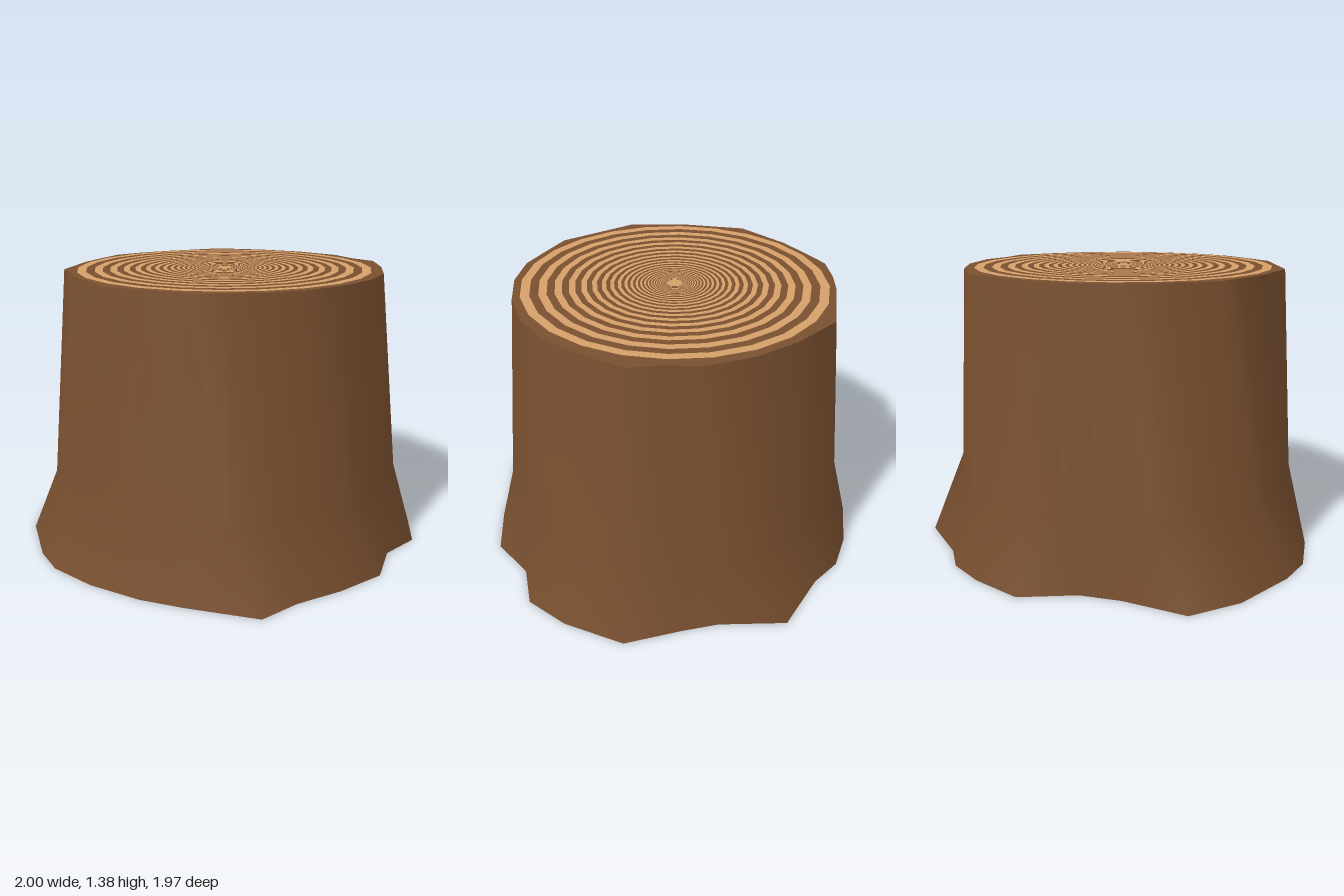
import * as THREE from 'three';

const HEIGHT = 1.38, FLARE_HEIGHT = 0.37;
const CENTRE = [0, -0.05];

// Outlines as [x, z] corners, clockwise from the back as seen from above.
const BASE = [
  [-0.04, -0.99], [0.16, -0.98], [0.32, -0.9], [0.64, -0.82], [0.75, -0.51], [0.84, -0.36],
  [1, -0.12], [0.97, 0.19], [0.89, 0.41], [0.7, 0.52], [0.57, 0.73], [0.33, 0.83],
  [0.1, 0.89], [-0.09, 0.98], [-0.4, 0.8], [-0.58, 0.68], [-0.78, 0.49], [-0.93, 0.28],
  [-0.98, 0.1], [-1, -0.24], [-0.93, -0.5], [-0.64, -0.62], [-0.47, -0.73], [-0.3, -0.95],
];
const TOP = [
  [0.16, -0.84], [0.39, -0.72], [0.57, -0.58], [0.72, -0.38], [0.75, -0.24], [0.82, -0.1],
  [0.77, 0.12], [0.69, 0.33], [0.57, 0.48], [0.39, 0.61], [0.2, 0.69], [0, 0.72],
  [-0.17, 0.69], [-0.33, 0.66], [-0.49, 0.53], [-0.65, 0.4], [-0.74, 0.13], [-0.76, -0.03],
  [-0.78, -0.19], [-0.65, -0.44], [-0.55, -0.57], [-0.45, -0.69], [-0.31, -0.75], [-0.17, -0.79],
];
// The root flare ends halfway between the two outlines.
const MIDDLE = BASE.map(([x, z], i) => [(x + TOP[i][0]) / 2, (z + TOP[i][1]) / 2]);

function buildGeometry(points, index) {
  const geometry = new THREE.BufferGeometry();
  geometry.setAttribute('position', new THREE.Float32BufferAttribute(points.flat(), 3));
  geometry.setIndex(index);
  geometry.computeVertexNormals();
  return geometry;
}

// Smooth skin through a stack of outlines.
function loft(sections) {
  const n = BASE.length, points = [], index = [];
  sections.forEach(([outline, y], s) => outline.forEach(([x, z], i) => {
    points.push([x, y, z]);
    if (s === 0) return;
    const low = (s - 1) * n, high = s * n, next = (i + 1) % n;
    index.push(low + i, high + i, low + next, high + i, high + next, low + next);
  }));
  return buildGeometry(points, index);
}

// Flat fan closing an outline, facing up or down.
function cap(outline, y, up) {
  const n = outline.length, index = [];
  const points = [...outline.map(([x, z]) => [x, y, z]), [CENTRE[0], y, CENTRE[1]]];
  for (let i = 0; i < n; i++) {
    const next = (i + 1) % n;
    index.push(n, ...(up ? [next, i] : [i, next]));
  }
  return buildGeometry(points, index);
}

export function createModel() {
  const model = new THREE.Group();
  model.name = 'treeStump';
  const bark = new THREE.MeshStandardMaterial({ color: 0x7a5030 });
  const wood = new THREE.MeshStandardMaterial({ color: 0xd4a06a });

  const add = (name, geometry, material, parent = model) => {
    const mesh = new THREE.Mesh(geometry, material);
    mesh.name = name;
    parent.add(mesh);
    return mesh;
  };

  // Trunk with flared, twisted roots
  add('barkSide', loft([[BASE, 0], [MIDDLE, FLARE_HEIGHT], [TOP, HEIGHT]]), bark);
  add('cutTop', cap(TOP, HEIGHT, true), bark);
  add('underside', cap(BASE, 0, false), bark);

  // Pale growth rings, narrowing towards the heart
  const rings = new THREE.Group();
  rings.name = 'growthRings';
  rings.position.set(CENTRE[0], HEIGHT + 0.002, CENTRE[1]);
  rings.rotation.x = -Math.PI / 2;
  model.add(rings);
  const SHRINK = 0.94;
  let radius = 0.73;
  for (; radius > 0.04; radius *= SHRINK * SHRINK) {
    add('growthRing', new THREE.RingGeometry(radius * SHRINK, radius, 24), wood, rings);
  }
  add('heartwood', new THREE.CircleGeometry(radius, 24), wood, rings);

  return model;
}
